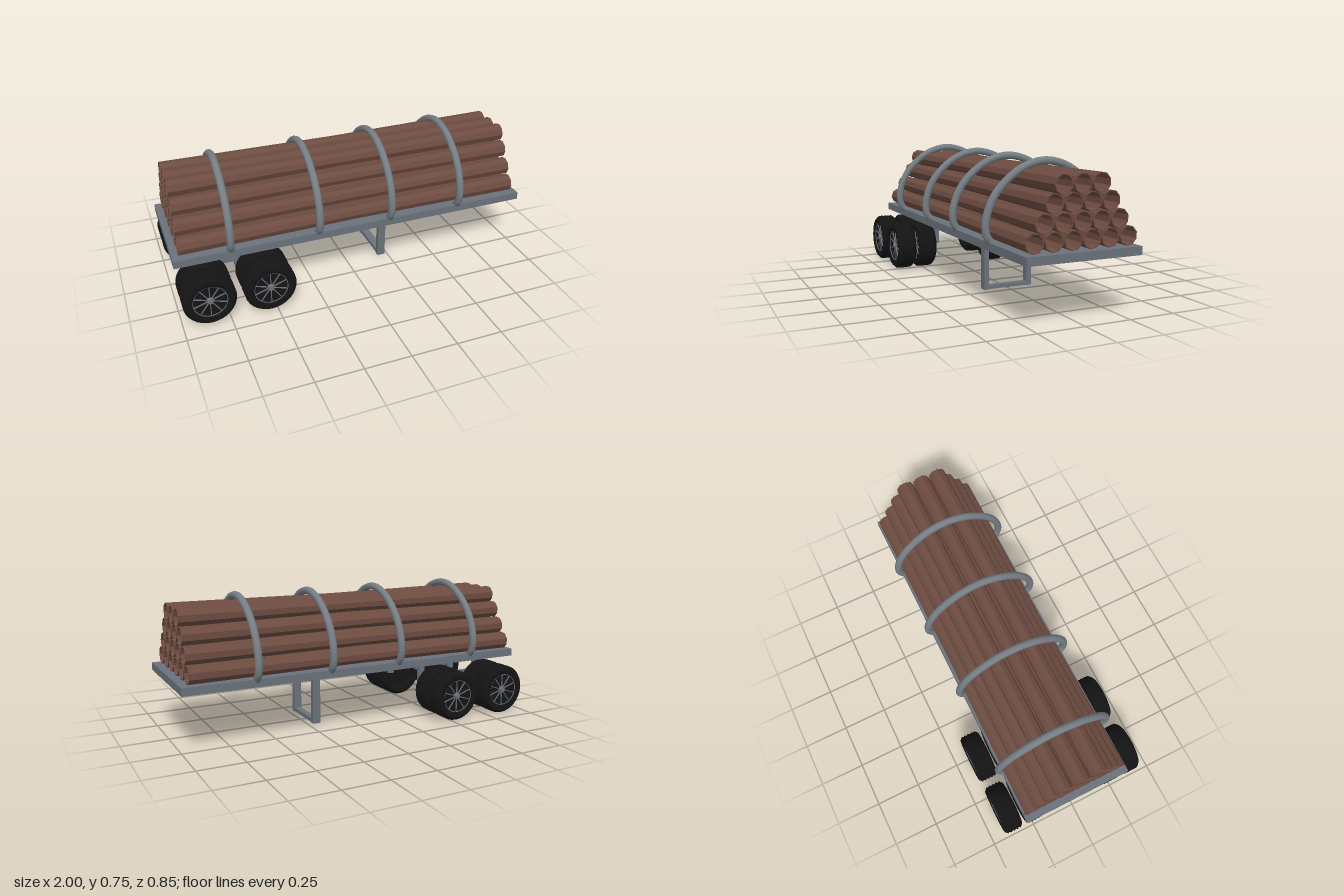
import * as THREE from 'three';

const mat = (color, opts = {}) => {
  const m = new THREE.MeshStandardMaterial(opts);
  m.color.set(color);
  return m;
};
const steel = mat(0x6b727b);
const hoopSteel = mat(0x757e84);
const bark = mat(0x6d4c41, { flatShading: true });
const wood = mat(0xa98058, { flatShading: true });
const ring = mat(0x6b4a30);
const rubber = mat(0x141414, { flatShading: true });
const rimSteel = mat(0x6b727b);

const pts = list => list.map(([x, y]) => new THREE.Vector2(x, y));

function add(parent, name, geometry, material, x = 0, y = 0, z = 0) {
  const mesh = new THREE.Mesh(geometry, material);
  mesh.name = name;
  mesh.position.set(x, y, z);
  parent.add(mesh);
  return mesh;
}

// box given by its limits on each axis
function box(parent, name, x0, x1, y0, y1, z0, z1, material = steel) {
  return add(parent, name, new THREE.BoxGeometry(x1 - x0, y1 - y0, z1 - z0), material,
    (x0 + x1) / 2, (y0 + y1) / 2, (z0 + z1) / 2);
}

// logs: nine-sided, waisted at the middle, with hollowed ends
function makeLogs() {
  const logs = new THREE.Group();
  logs.name = 'logs';
  const h = 0.962, depth = 0.15, r = 0.049, mid = 0.0405, inner = 0.044, core = 0.04;
  const shell = new THREE.LatheGeometry(pts([
    [core, -h + depth], [inner, -h], [r, -h], [mid, 0], [r, h], [inner, h], [core, h - depth],
  ]), 9).rotateZ(-Math.PI / 2);
  const heart = new THREE.CylinderGeometry(core - 0.001, core - 0.001, 2 * (h - depth), 9).rotateZ(-Math.PI / 2);
  const growthRing = new THREE.RingGeometry(0.0265, 0.028, 9).rotateY(Math.PI / 2);
  const rows = [[6, 0.4, -0.005], [5, 0.485, -0.004], [4, 0.573, -0.005], [3, 0.658, -0.002]];
  for (const [count, y, mz] of rows) {
    for (let i = 0; i < count; i++) {
      const log = new THREE.Group();
      log.name = 'log';
      log.position.set(-0.003, y, mz + (i - (count - 1) / 2) * 0.1);
      add(log, 'bark', shell, bark);
      add(log, 'heartwood', heart, wood);
      for (const s of [1, -1]) {
        const g = add(log, 'growthRing', growthRing, ring, s * (h - depth + 0.002));
        if (s < 0) g.rotation.y = Math.PI;
      }
      logs.add(log);
    }
  }
  return logs;
}

// round hoop over the load
function hoopGeometry() {
  const half = [[0.288, 0.345], [0.313, 0.375], [0.323, 0.425], [0.31, 0.5], [0.268, 0.585],
    [0.19, 0.665], [0.1, 0.717]];
  const path = [...half, [0, 0.737], ...half.map(([z, y]) => [-z, y]).reverse()];
  const curve = new THREE.CatmullRomCurve3(path.map(([z, y]) => new THREE.Vector3(-z * 0.015, y, z - 0.003)));
  return new THREE.TubeGeometry(curve, 48, 0.02, 12);
}

// tyre profile with tread grooves and dished sides, axis along z
function tyreGeometry() {
  const w = 0.054, R = 0.14, rim = 0.092;
  const profile = [[0, -w + 0.02], [rim - 0.004, -w + 0.02], [rim, -w + 0.004], [rim + 0.012, -w], [R - 0.016, -w], [R - 0.003, -w + 0.013]];
  for (const z of [-0.03, -0.01, 0.01, 0.03]) {
    profile.push([R, z - 0.006], [R - 0.005, z - 0.003], [R - 0.005, z + 0.003], [R, z + 0.006]);
  }
  profile.push([R - 0.003, w - 0.013], [R - 0.016, w], [rim + 0.012, w], [rim, w - 0.004], [rim - 0.004, w - 0.02], [0, w - 0.02]);
  return new THREE.LatheGeometry(pts(profile), 32).rotateX(Math.PI / 2);
}

const tyre = tyreGeometry();
const rimRing = new THREE.TorusGeometry(0.09, 0.0025, 6, 32);
const hub = new THREE.CylinderGeometry(0.014, 0.018, 0.02, 16).rotateX(Math.PI / 2);
const spoke = new THREE.BoxGeometry(0.078, 0.004, 0.006).translate(0.05, 0, 0);

function makeWheel(side) {
  const wheel = new THREE.Group();
  wheel.name = 'wheel';
  add(wheel, 'tyre', tyre, rubber);
  const face = new THREE.Group();
  face.name = 'rim';
  face.rotation.y = side > 0 ? 0 : Math.PI;
  add(face, 'rimRing', rimRing, rimSteel, 0, 0, 0.046);
  add(face, 'hub', hub, rimSteel, 0, 0, 0.042);
  for (let i = 0; i < 10; i++) {
    add(face, 'spoke', spoke, rimSteel, 0, 0, 0.038).rotation.z = (i + 0.5) * Math.PI / 5;
  }
  wheel.add(face);
  return wheel;
}

export function createModel() {
  const model = new THREE.Group();
  model.name = 'logTrailer';

  // flat deck and its load
  box(model, 'deck', -1, 1, 0.31, 0.352, -0.307, 0.307);
  model.add(makeLogs());
  const hoop = hoopGeometry();
  for (const x of [-0.7, -0.22, 0.193, 0.608]) add(model, 'loadHoop', hoop, hoopSteel, x);

  // landing gear
  const gear = new THREE.Group();
  gear.name = 'landingGear';
  box(gear, 'landingLeg', 0.186, 0.23, 0.012, 0.31, 0.127, 0.154);
  box(gear, 'landingLeg', 0.186, 0.23, 0.012, 0.31, -0.132, -0.105);
  box(gear, 'landingCrossbar', 0.19, 0.226, 0.013, 0.034, -0.105, 0.127);
  model.add(gear);

  for (const side of [1, -1]) {
    // axle hangers, joined by a rail
    const hanger = new THREE.Group();
    hanger.name = 'suspension';
    const z = side > 0 ? 0.173 : -0.169;
    for (const x of [-0.835, -0.648, -0.447]) {
      box(hanger, 'hangerPost', x - 0.018, x + 0.018, 0.16, 0.31, z - 0.0115, z + 0.0115);
    }
    box(hanger, 'hangerRail', -0.835, -0.447, 0.197, 0.222, z - 0.009, z + 0.009);
    model.add(hanger);

    // twin wheels on two axles
    for (const x of [-0.852, -0.532]) {
      for (const wz of [0.24, 0.371]) {
        const wheel = makeWheel(side);
        wheel.position.set(x, side > 0 ? 0.147 : 0.144, side * wz);
        model.add(wheel);
      }
    }
  }
  return model;
}
